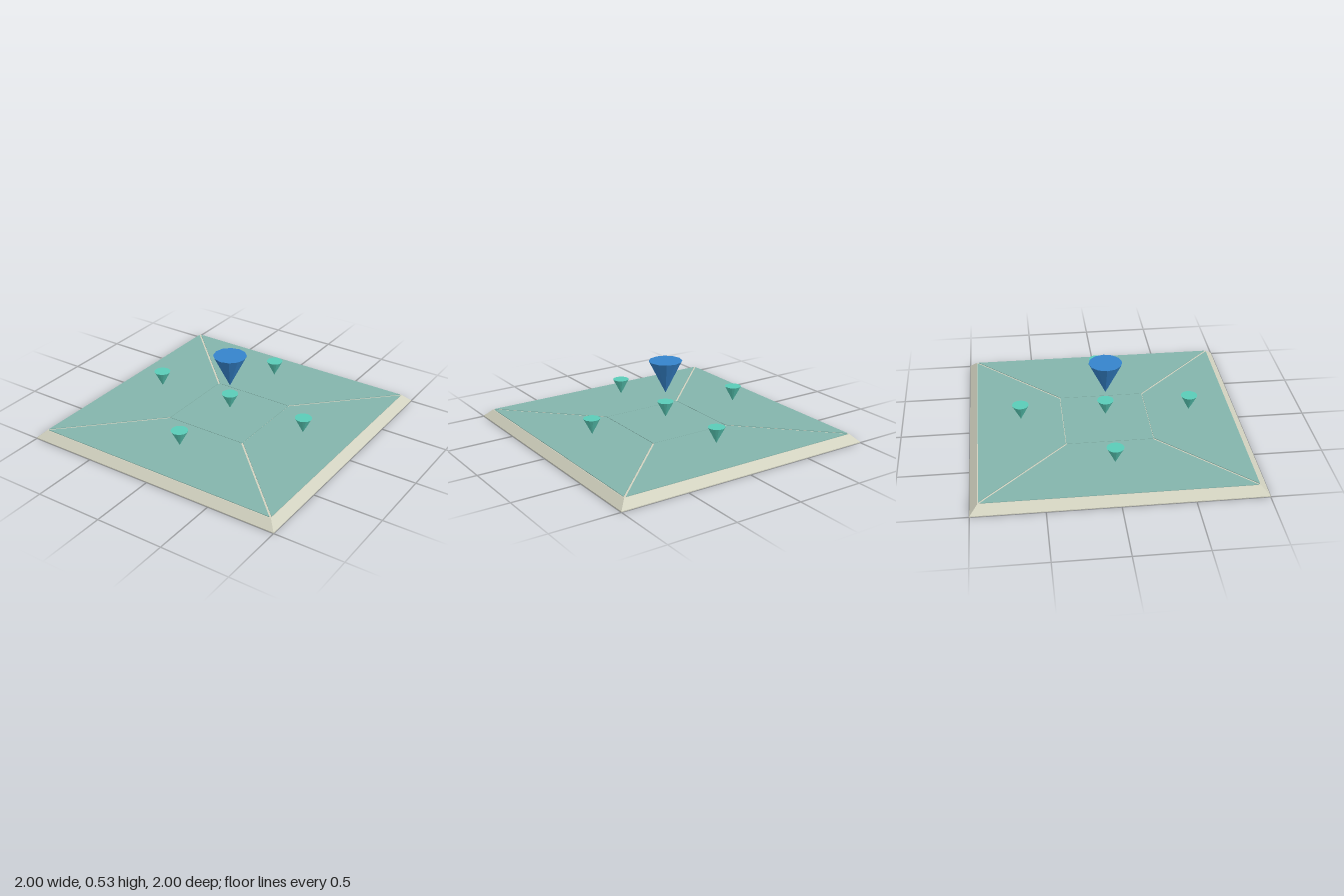
import * as THREE from 'three';

export function createModel() {
  const model = new THREE.Group();
  const mat = (color) => new THREE.MeshStandardMaterial({ color, flatShading: true });
  const stone = mat(0xd2d2c0), tile = mat(0x84b5ac), teal = mat(0x5accb8), blue = mat(0x3584cc);

  const add = (name, geometry, material, x = 0, y = 0, z = 0) => {
    const mesh = new THREE.Mesh(geometry, material);
    mesh.name = name;
    mesh.position.set(x, y, z);
    model.add(mesh);
    return mesh;
  };

  // Square slab given by half widths at its top and bottom
  const slab = (top, bottom, height) =>
    new THREE.CylinderGeometry(top * Math.SQRT2, bottom * Math.SQRT2, height, 4).rotateY(Math.PI / 4);

  // Base with a thin foot and sloping sides
  add('baseFoot', slab(1, 1, 0.006), stone, 0, 0.003, 0);
  add('baseSlope', slab(0.945, 1, 0.054), stone, 0, 0.033, 0);

  // Thin raised tiles: centre square and four mitred borders
  const tileTop = 0.064, tileDepth = 0.004;
  add('centreTile', new THREE.BoxGeometry(0.626, tileDepth, 0.626), tile, 0, tileTop - tileDepth / 2, 0);
  const outer = 0.94, inner = 0.317, gap = 0.01;
  const border = new THREE.Shape([
    new THREE.Vector2(-inner + gap, -inner),
    new THREE.Vector2(-outer + gap, -outer),
    new THREE.Vector2(outer - gap, -outer),
    new THREE.Vector2(inner - gap, -inner),
  ]);
  const borderGeometry = new THREE.ExtrudeGeometry(border, { depth: tileDepth, bevelEnabled: false })
    .rotateX(-Math.PI / 2);

  // Inverted cones floating above each tile
  const markerGeometry = new THREE.ConeGeometry(0.061, 0.118, 16).rotateX(Math.PI);
  const markerY = 0.158, reach = 0.622;
  for (let i = 0; i < 4; i++) {
    const a = (i * Math.PI) / 2;
    add('borderTile', borderGeometry, tile, 0, tileTop - tileDepth, 0).rotation.y = a;
    add('borderMarker', markerGeometry, teal, Math.sin(a) * reach, markerY, Math.cos(a) * reach);
  }
  add('centreMarker', markerGeometry, teal, 0, markerY, 0);

  // Large inverted cone over the centre
  add('mainMarker', new THREE.ConeGeometry(0.122, 0.243, 12).rotateX(Math.PI), blue, 0, 0.408, 0);

  return model;
}
